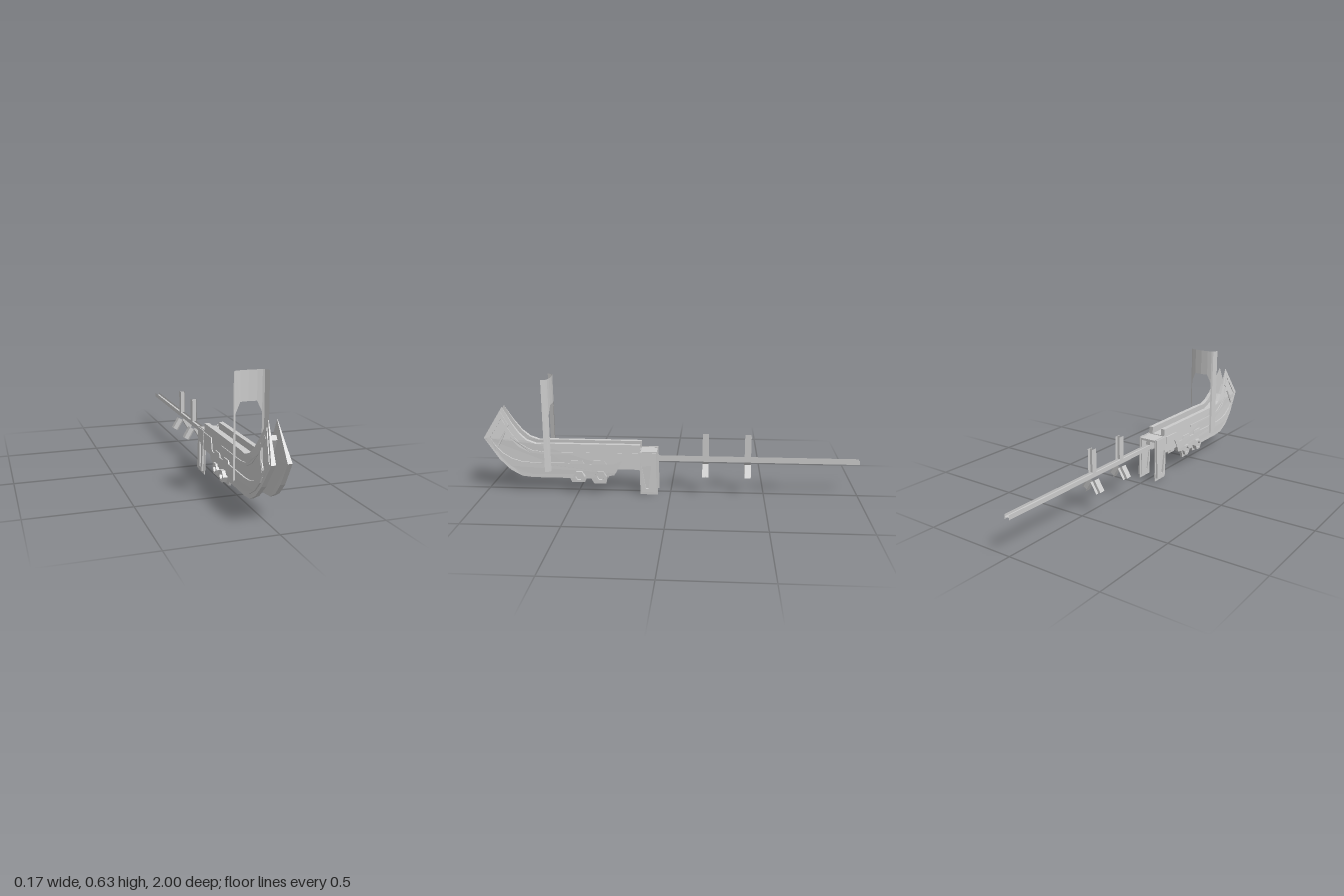
import * as THREE from 'three';

const mat = new THREE.MeshStandardMaterial({ color: 0xcccccc, flatShading: true, side: THREE.DoubleSide });

// Piecewise-linear lookup of [y, x] stations, y ascending
function lookup(table, y) {
  if (y <= table[0][0]) return table[0][1];
  for (let i = 1; i < table.length; i++) {
    const [y0, x0] = table[i - 1], [y1, x1] = table[i];
    if (y <= y1) return x0 + (x1 - x0) * (y - y0) / (y1 - y0);
  }
  return table[table.length - 1][1];
}
// Inner and outer faces of the leaning hull walls
const inner = y => lookup([[0, 0.048], [0.12, 0.037], [0.225, 0.028], [0.395, 0.022], [0.465, 0.019]], y);
const outer = y => lookup([[0, 0.052], [0.085, 0.055], [0.14, 0.056], [0.28, 0.05], [0.465, 0.021]], y);

function shapeOf(points, hole) {
  const s = new THREE.Shape(points.map(p => new THREE.Vector2(...p)));
  if (hole) s.holes.push(new THREE.Path(hole.map(p => new THREE.Vector2(...p))));
  return s;
}

// Extrudes a [z, y] outline sideways between two x-functions of y; side is +1 or -1
function sidePanel(name, side, points, from, to, hole) {
  const geo = new THREE.ExtrudeGeometry(shapeOf(points, hole), { depth: 1, bevelEnabled: false }).toNonIndexed();
  const p = geo.attributes.position;
  for (let i = 0; i < p.count; i++) {
    const z = p.getX(i), y = p.getY(i), t = p.getZ(i);
    p.setXYZ(i, side * (from(y) + (to(y) - from(y)) * t), y, z);
  }
  if (side > 0) { // keep the faces pointing outward
    for (let i = 0; i < p.count; i += 3) {
      const a = [p.getX(i), p.getY(i), p.getZ(i)];
      p.setXYZ(i, p.getX(i + 1), p.getY(i + 1), p.getZ(i + 1));
      p.setXYZ(i + 1, ...a);
    }
  }
  geo.computeVertexNormals();
  const mesh = new THREE.Mesh(geo, mat);
  mesh.name = name;
  return mesh;
}

function box(name, w, h, d, x, y, z) {
  const m = new THREE.Mesh(new THREE.BoxGeometry(w, h, d), mat);
  m.name = name;
  m.position.set(x, y, z);
  return m;
}

// Open H-section beam along local y, starting at the origin
function beam(name, length, w, d) {
  const g = new THREE.Group();
  g.name = name;
  const sheet = (width, x, turn) => {
    const m = new THREE.Mesh(new THREE.PlaneGeometry(width, length), mat);
    m.position.set(x, length / 2, 0);
    m.rotation.y = turn;
    g.add(m);
  };
  sheet(w, 0, 0);
  sheet(d, w / 2, Math.PI / 2);
  sheet(d, -w / 2, Math.PI / 2);
  return g;
}

function createHullSide(side) {
  const g = new THREE.Group();
  g.name = side > 0 ? 'leftHull' : 'rightHull';

  // Main wall with upswept bow and tabs behind the pods
  g.add(sidePanel('hullWall', side, [
    [1, 0.3], [0.9, 0.465], [0.85, 0.38], [0.81, 0.325], [0.77, 0.29], [0.72, 0.272], [0.66, 0.275],
    [0.16, 0.275], [0.16, 0.14], [0.28, 0.14], [0.3, 0.105], [0.335, 0.1], [0.345, 0.057], [0.41, 0.057],
    [0.425, 0.085], [0.45, 0.085], [0.46, 0.062], [0.53, 0.062], [0.54, 0.085],
    [0.74, 0.085], [0.8, 0.092], [0.86, 0.125], [0.92, 0.185]], inner, outer));

  // Raised lower armour with a notched upper edge
  g.add(sidePanel('lowerArmour', side, [
    [0.95, 0.275], [0.9, 0.22], [0.85, 0.19], [0.8, 0.175], [0.74, 0.17], [0.54, 0.17], [0.53, 0.186],
    [0.47, 0.186], [0.46, 0.167], [0.42, 0.167], [0.41, 0.186], [0.35, 0.186], [0.34, 0.167],
    [0.305, 0.167], [0.28, 0.23], [0.17, 0.23], [0.17, 0.19], [0.255, 0.19], [0.29, 0.12],
    [0.55, 0.11], [0.74, 0.105], [0.8, 0.115], [0.86, 0.15], [0.91, 0.2]],
  y => outer(y) - 0.002, y => outer(y) + 0.005));

  // Upper rail sweeping up the bow
  g.add(sidePanel('upperRail', side, [
    [0.9, 0.4], [0.85, 0.325], [0.8, 0.27], [0.74, 0.238], [0.68, 0.23], [0.43, 0.23], [0.43, 0.218],
    [0.68, 0.218], [0.75, 0.225], [0.81, 0.255], [0.865, 0.31], [0.915, 0.385]],
  y => outer(y) - 0.002, y => outer(y) + 0.004));

  // Bow frame
  g.add(sidePanel('bowFrame', side, [
    [0.985, 0.302], [0.905, 0.435], [0.865, 0.37], [0.9, 0.29], [0.935, 0.225]],
  y => outer(y) - 0.002, y => outer(y) + 0.004,
  [[0.965, 0.303], [0.9, 0.41], [0.88, 0.37], [0.912, 0.295], [0.935, 0.25]]));

  // Rear leg: thin blade and recessed frame
  g.add(sidePanel('legBlade', side, [[0.165, 0.24], [0.07, 0.24], [0.065, 0], [0.16, 0]],
    y => 0.048, y => 0.052));
  g.add(sidePanel('legFrame', side, [[0.162, 0.235], [0.075, 0.235], [0.073, 0.017], [0.15, 0.017]],
    y => 0.042, y => 0.064 - 0.03 * y,
    [[0.152, 0.16], [0.1, 0.165], [0.115, 0.035], [0.13, 0.035]]));

  // Hexagonal pods with an open recess
  const hex = r => [0, 1, 2, 3, 4, 5].map(i => [r * Math.cos(i * Math.PI / 3), r * Math.sin(i * Math.PI / 3)]);
  for (const [z, reach] of [[0.487, 0.078], [0.372, 0.07]]) {
    const at = r => hex(r).map(([u, v]) => [u + z, v + 0.1]);
    g.add(sidePanel('podShell', side, at(0.032), y => 0.03, y => reach, at(0.019)));
    g.add(sidePanel('podCore', side, at(0.02), y => 0.034, y => reach - 0.012));
  }
  return g;
}

// Curved sheet arch: flat outline bent back in plan
function createArch() {
  const plan = [[0, 0.63], [0.04, 0.633], [0.063, 0.638], [0.072, 0.643], [0.085, 0.668]];
  const bottom = [0.485, 0.485, 0.435, 0.125, 0.125];
  const pos = [];
  const quad = (a, b, lowA, lowB, s) => {
    const v = (p, y) => [s * p[0], y, p[1]];
    const A = v(a, lowA), B = v(b, lowB), C = v(b, 0.627), D = v(a, 0.627);
    pos.push(...(s > 0 ? [A, B, C, A, C, D] : [A, C, B, A, D, C]).flat());
  };
  for (const s of [1, -1]) {
    for (let i = 0; i < 4; i++) {
      quad(plan[i], plan[i + 1], i === 2 ? 0.125 : bottom[i], bottom[i + 1], s);
    }
  }
  const geo = new THREE.BufferGeometry();
  geo.setAttribute('position', new THREE.Float32BufferAttribute(pos, 3));
  geo.computeVertexNormals();
  const m = new THREE.Mesh(geo, mat);
  m.name = 'arch';
  return m;
}

export function createModel() {
  const model = new THREE.Group();
  model.name = 'skiff';
  for (const s of [1, -1]) model.add(createHullSide(s));
  model.add(createArch());

  // Deck strip curving up into the bow
  const top = [[0.89, 0.395], [0.845, 0.315], [0.8, 0.268], [0.73, 0.24], [0.16, 0.238]];
  const under = [[0.16, 0.224], [0.73, 0.225], [0.81, 0.25], [0.86, 0.305], [0.9, 0.375]];
  for (const s of [1, -1]) {
    model.add(sidePanel('deck', s, [...top, ...under], y => 0, y => inner(y) + 0.002));
  }

  // Stern bridge between the legs
  model.add(box('sternBridge', 0.1, 0.012, 0.09, 0, 0.228, 0.118));
  model.add(box('boomMount', 0.026, 0.022, 0.09, 0, 0.212, 0.12));

  // Tail boom
  const boom = beam('tailBoom', 1.12, 0.026, 0.023);
  boom.rotation.x = -Math.PI / 2;
  boom.position.set(0, 0.19, 0.12);
  model.add(boom);

  // Two sets of three fins around the boom
  for (const z of [-0.187, -0.412]) {
    const fins = new THREE.Group();
    fins.name = 'finSet';
    const up = beam('upperFin', 0.125, 0.026, 0.033);
    up.position.set(0, 0.2, z);
    fins.add(up);
    for (const s of [1, -1]) {
      const low = beam('lowerFin', 0.068, 0.03, 0.033);
      low.rotation.z = s * (Math.PI + 0.54);
      low.position.set(s * 0.012, 0.162, z);
      fins.add(low);
    }
    model.add(fins);
  }
  return model;
}
